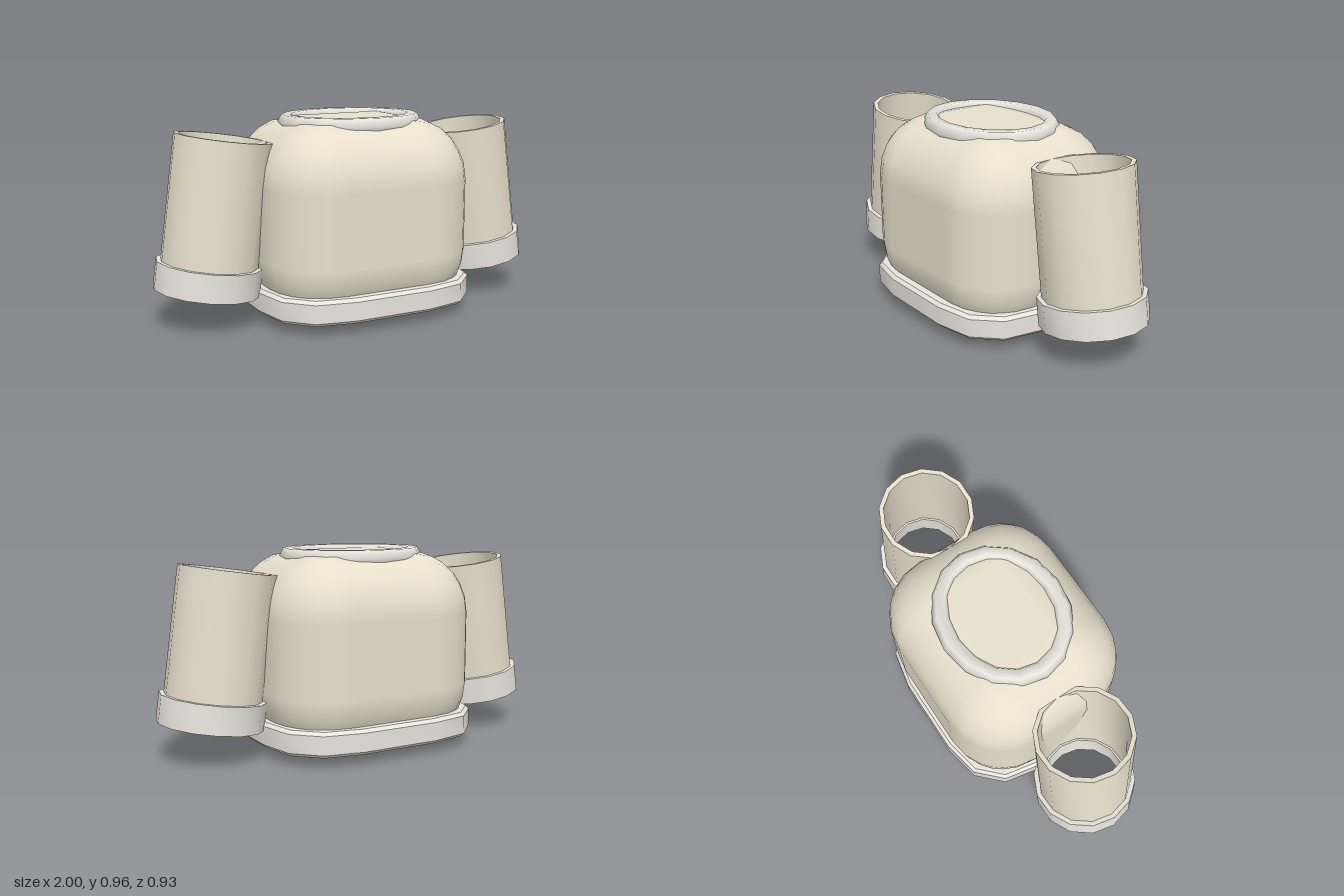
import * as THREE from 'three';
import { RoundedBoxGeometry } from 'three/addons/geometries/RoundedBoxGeometry.js';
import { toCreasedNormals } from 'three/addons/utils/BufferGeometryUtils.js';

const cloth = new THREE.MeshStandardMaterial({ color: 0xe8dfcc });
const trim = new THREE.MeshStandardMaterial({ color: 0xe8e4dc });

function part(name, geometry, material, parent) {
  const mesh = new THREE.Mesh(geometry, material);
  mesh.name = name;
  parent.add(mesh);
  return mesh;
}

// Hollow 14-sided tube with wall thickness, open at both ends
function hollowTube(outer, inner, y0, y1) {
  const profile = [[inner, y0], [outer, y0], [outer, y1], [inner, y1], [inner, y0]]
    .map(([r, y]) => new THREE.Vector2(r, y));
  return toCreasedNormals(new THREE.LatheGeometry(profile, 14, Math.PI / 2), 0.8);
}

// Bevelled slab with rounded corners, standing on y = 0
function roundedSlab(halfX, halfZ, corner, height, bevel) {
  const x = halfX - bevel, z = halfZ - bevel, r = corner;
  const shape = new THREE.Shape();
  shape.moveTo(x, -z + r);
  shape.lineTo(x, z - r);
  shape.quadraticCurveTo(x, z, x - r, z);
  shape.lineTo(-x + r, z);
  shape.quadraticCurveTo(-x, z, -x, z - r);
  shape.lineTo(-x, -z + r);
  shape.quadraticCurveTo(-x, -z, -x + r, -z);
  shape.lineTo(x - r, -z);
  shape.quadraticCurveTo(x, -z, x, -z + r);
  const geometry = new THREE.ExtrudeGeometry(shape, {
    depth: height - 2 * bevel, bevelEnabled: true, bevelSize: bevel,
    bevelThickness: bevel, bevelSegments: 1, curveSegments: 3,
  });
  geometry.rotateX(-Math.PI / 2).translate(0, bevel, 0);
  return toCreasedNormals(geometry, 0.7);
}

// Six-sided ring stretched to an oval while keeping its thickness
function ovalRing(radiusX, radiusZ, thickness) {
  const mean = (radiusX + radiusZ) / 2, stretch = (radiusX - radiusZ) / 2;
  const geometry = new THREE.TorusGeometry(mean, thickness, 6, 16);
  geometry.rotateX(-Math.PI / 2);
  const p = geometry.attributes.position;
  for (let i = 0; i < p.count; i++) {
    const a = Math.atan2(p.getZ(i), p.getX(i));
    p.setX(i, p.getX(i) + stretch * Math.cos(a));
    p.setZ(i, p.getZ(i) - stretch * Math.sin(a));
  }
  geometry.computeVertexNormals();
  return toCreasedNormals(geometry, 1.2);
}

export function createModel() {
  const model = new THREE.Group();
  model.name = 'garmentTop';

  // Torso
  part('body', new RoundedBoxGeometry(1.05, 0.945, 0.89, 3, 0.3), cloth, model)
    .position.y = 0.4725;

  // Hem band around the bottom
  part('hem', roundedSlab(0.54, 0.465, 0.33, 0.12, 0.016), trim, model)
    .position.y = 0.05;

  // Neck opening trim
  part('collar', ovalRing(0.316, 0.266, 0.044), trim, model).position.y = 0.921;

  // Mirrored sleeves, flaring outward toward the cuffs
  for (const side of [1, -1]) {
    const sleeve = new THREE.Group();
    sleeve.name = side > 0 ? 'leftSleeve' : 'rightSleeve';
    part('sleeveTube', hollowTube(0.228, 0.206, 0.02, 0.72), cloth, sleeve);
    part('cuff', hollowTube(0.25, 0.196, 0, 0.132), trim, sleeve);
    sleeve.position.set(side * 0.752, 0.162, 0);
    sleeve.rotation.z = side * 0.143;
    model.add(sleeve);
  }
  return model;
}
